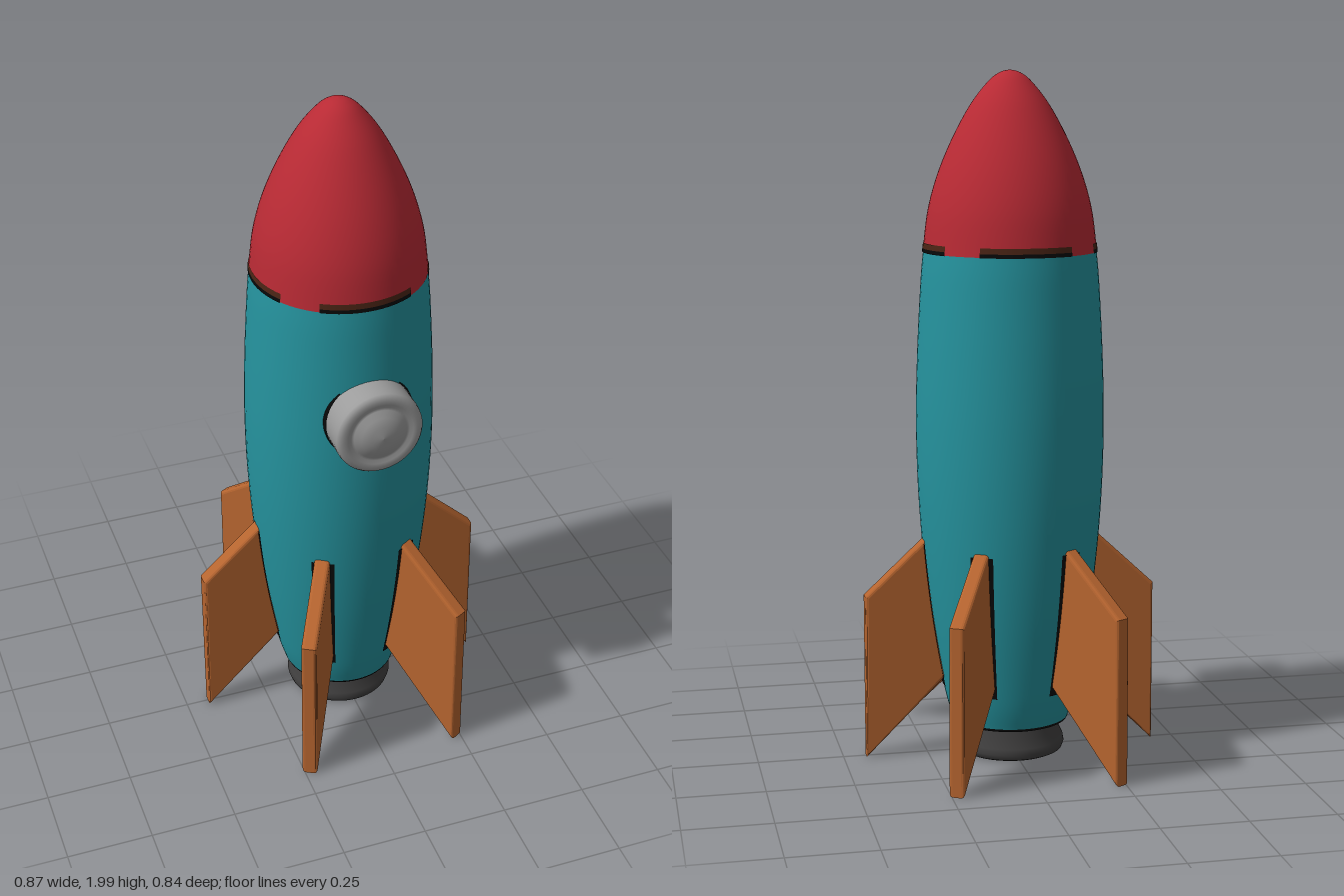
import * as THREE from 'three';

const mat = (name, color) => new THREE.MeshStandardMaterial({ name, color });

export function createModel() {
  const teal = mat('teal hull', 0x25939e);
  const red = mat('red nose', 0xb82a34);
  const orange = mat('orange fin', 0xb5642f);
  const grey = mat('grey porthole', 0x9c9c9c);
  const dark = mat('dark nozzle', 0x403f3f);
  const black = mat('black seam', 0x080808);
  const brown = mat('brown seam', 0x4a2415);

  const rocket = new THREE.Group();
  rocket.name = 'rocket';
  const add = (name, geometry, material) => {
    const mesh = new THREE.Mesh(geometry, material);
    mesh.name = name;
    rocket.add(mesh);
    return mesh;
  };
  const points = (list) => list.map(([r, y]) => new THREE.Vector2(r, y));
  const smooth = (list, count) => new THREE.SplineCurve(points(list)).getPoints(count);
  // Everything turned about the main axis is a touch deeper than wide
  const turned = (name, profile, material, segments = 64, start = 0, sweep = Math.PI * 2) => {
    const geometry = new THREE.LatheGeometry(profile, segments, start, sweep);
    return add(name, geometry.scale(1, 1, 1.02), material);
  };

  // Hull with gently bulging sides
  const hullProfile = smooth([
    [0.172, 0.11], [0.196, 0.2], [0.231, 0.4], [0.255, 0.6], [0.269, 0.8],
    [0.273, 1.0], [0.268, 1.2], [0.257, 1.4], [0.249, 1.488],
  ], 60);
  turned('hull', hullProfile, teal);
  turned('hullUnderside', points([[0.128, 0.1], [0.17, 0.104], [0.1735, 0.112]]), black);

  // Nose cone with a rounded tip, seated flush on the hull
  turned('noseCone', smooth([
    [0.25, 1.487], [0.236, 1.6], [0.209, 1.7], [0.168, 1.8],
    [0.114, 1.9], [0.062, 1.967], [0.028, 1.993], [0, 2.0],
  ], 40), red);

  // Four seam arcs under the nose: front, back and both sides
  for (let i = 0; i < 4; i++) {
    const start = (i * Math.PI) / 2 - 0.55;
    turned('noseSeamLine', points([[0.252, 1.486], [0.251, 1.497]]), black, 16, start, 1.1);
    turned('noseSeamBand', points([[0.251, 1.497], [0.249, 1.513]]), brown, 16, start, 1.1);
  }

  // Flared nozzle with a closed bottom
  turned('nozzle', points([
    [0, 0.008], [0.145, 0.008], [0.145, 0.008], [0.155, 0.013], [0.16, 0.028],
    [0.157, 0.045], [0.145, 0.07], [0.137, 0.12],
  ]), dark);

  // Porthole: thick rounded ring with a domed pane, and a seam where it meets the hull
  const portholePart = (name, profile, material) => {
    const mesh = add(name, new THREE.LatheGeometry(points(profile), 48), material);
    mesh.rotation.x = Math.PI / 2;
    mesh.position.y = 1.143;
  };
  portholePart('porthole', [
    [0.126, 0.2], [0.128, 0.325], [0.126, 0.339], [0.12, 0.347], [0.108, 0.35],
    [0.096, 0.349], [0.086, 0.345], [0.078, 0.346], [0.06, 0.358],
    [0.035, 0.367], [0, 0.371],
  ], grey);
  portholePart('portholeSeam', [[0.131, 0.2], [0.131, 0.256], [0.126, 0.257]], black);

  // Six swept fins; the two side fins are slightly shorter
  const finGeometry = (reach) => {
    const bevel = 0.01;
    const shape = new THREE.Shape(points([
      [0.18, 0.255], [reach, 0.006], [reach, 0.49], [0.25, 0.66], [0.225, 0.66],
    ]));
    const geometry = new THREE.ExtrudeGeometry(shape, {
      depth: 0.046 - 2 * bevel, bevelEnabled: true, bevelSegments: 3,
      bevelSize: bevel, bevelThickness: bevel, bevelOffset: -bevel,
    });
    return geometry.translate(0, 0, -0.023 + bevel);
  };
  const sideFin = finGeometry(0.433);
  const diagonalFin = finGeometry(0.475);

  // Each fin has a dark seam hugging the hull around its root
  const seamProfile = hullProfile
    .filter((p) => p.y > 0.21 && p.y < 0.66)
    .map((p) => new THREE.Vector2(p.x + 0.003, p.y));
  for (let i = 0; i < 6; i++) {
    const angle = (i * Math.PI) / 3;
    const fin = add(`fin${i + 1}`, i % 3 === 0 ? sideFin : diagonalFin, orange);
    fin.rotation.y = angle;
    turned(`finSeam${i + 1}`, seamProfile, black, 4, angle + Math.PI / 2 - 0.13, 0.26);
  }
  return rocket;
}
